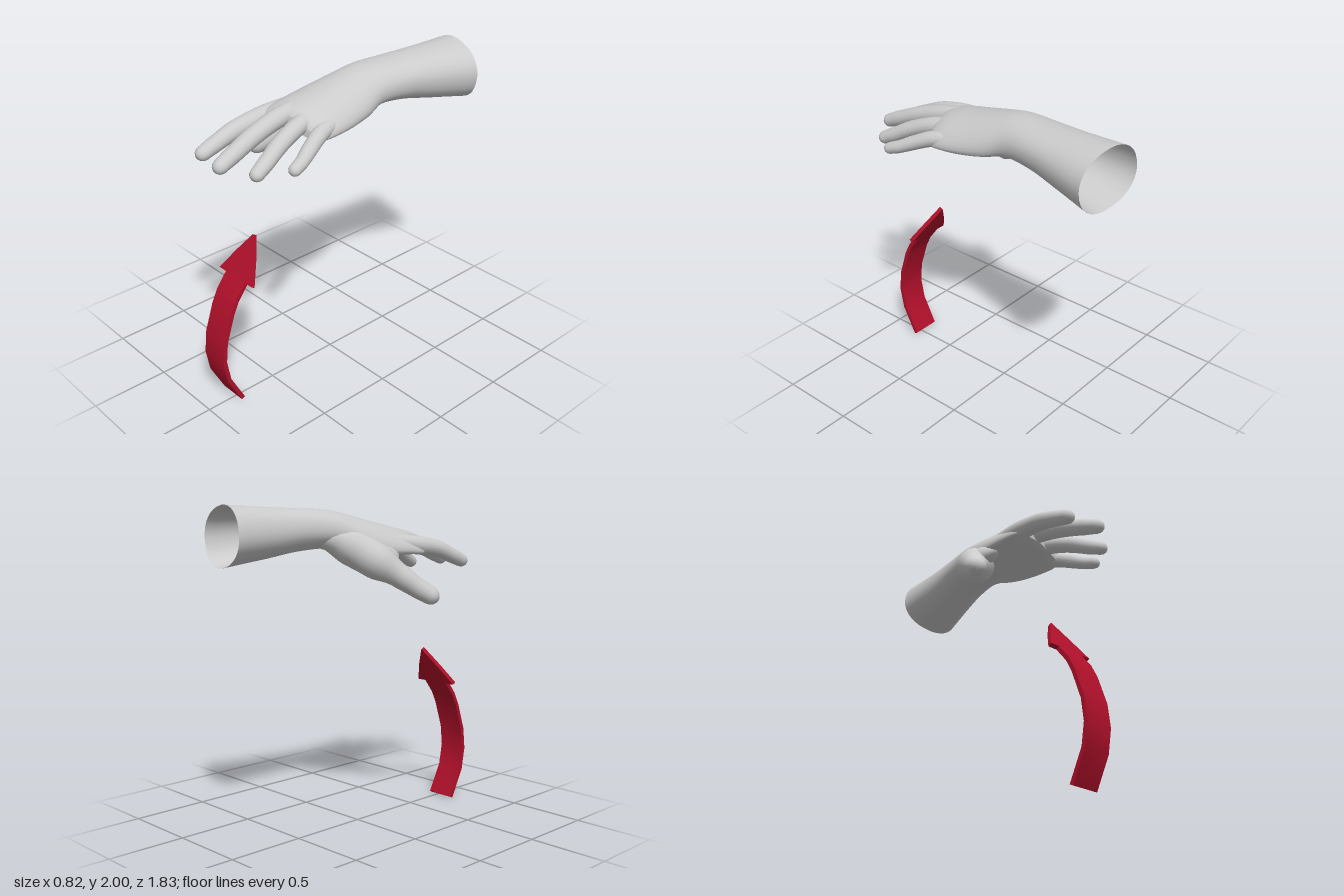
import * as THREE from 'three';
import { toCreasedNormals } from 'three/addons/utils/BufferGeometryUtils.js';

const V = (x, y, z) => new THREE.Vector3(x, y, z);
const skin = new THREE.MeshStandardMaterial({ color: 0xcccccc, side: THREE.DoubleSide });
const red = new THREE.MeshStandardMaterial({ color: 0xb0102a });

// Skin a list of equal-length rings, optionally closing either end.
function loft(rings, capStart, capEnd) {
  const n = rings[0].length, pos = [], idx = [];
  rings.forEach((r) => r.forEach((p) => pos.push(p.x, p.y, p.z)));
  for (let i = 0; i < rings.length - 1; i++) {
    for (let j = 0; j < n; j++) {
      const a = i * n + j, b = i * n + (j + 1) % n;
      idx.push(a, b, a + n, b, b + n, a + n);
    }
  }
  const cap = (i, flip) => {
    const c = V(0, 0, 0);
    rings[i].forEach((p) => c.addScaledVector(p, 1 / n));
    const k = pos.length / 3;
    pos.push(c.x, c.y, c.z);
    for (let j = 0; j < n; j++) {
      const a = i * n + j, b = i * n + (j + 1) % n;
      if (flip) idx.push(k, b, a); else idx.push(k, a, b);
    }
  };
  if (capStart) cap(0, true);
  if (capEnd) cap(rings.length - 1, false);
  const g = new THREE.BufferGeometry();
  g.setAttribute('position', new THREE.Float32BufferAttribute(pos, 3));
  g.setIndex(idx);
  g.computeVertexNormals();
  return g;
}

function add(group, name, geometry, material) {
  const m = new THREE.Mesh(geometry, material);
  m.name = name;
  group.add(m);
}

// Round digit along [x, y, z, radius] points with a domed tip.
function digit(points) {
  const curve = new THREE.CatmullRomCurve3(points.map((p) => V(p[0], p[1], p[2])));
  const last = points.length - 1, steps = last * 4, rings = [];
  const ring = (c, t, r) => {
    const side = V(0, 1, 0).cross(t).normalize(), up = t.clone().cross(side);
    rings.push(Array.from({ length: 16 }, (_, j) => {
      const a = j / 16 * Math.PI * 2;
      return c.clone().addScaledVector(side, r * Math.cos(a)).addScaledVector(up, r * Math.sin(a) * 0.95);
    }));
  };
  for (let i = 0; i <= steps; i++) {
    const u = i / steps, k = Math.min(Math.floor(u * last), last - 1);
    const f = THREE.MathUtils.smoothstep(u * last - k, 0, 1);
    ring(curve.getPoint(u), curve.getTangent(u), THREE.MathUtils.lerp(points[k][3], points[k + 1][3], f));
  }
  const t = curve.getTangent(1), end = curve.getPoint(1), r = points[last][3];
  for (const a of [0.4, 0.8, 1.2]) ring(end.clone().addScaledVector(t, r * Math.sin(a)), t, r * Math.cos(a));
  return loft(rings, false, true);
}

// Forearm, wrist and palm: z, centre x, centre y, half width, half height, arch, roll, skew
function palm() {
  const rows = [
    [-0.875, 0.2, 1.82, 0.212, 0.175, 0, -0.25, 0.17],
    [-0.6, 0.16, 1.835, 0.18, 0.148, 0, -0.2, 0.08],
    [-0.4, 0.13, 1.848, 0.168, 0.127, 0, -0.15, 0],
    [-0.2, 0.095, 1.852, 0.172, 0.116, 0.02, -0.1, 0],
    [-0.05, 0.078, 1.83, 0.212, 0.11, 0.06, -0.03, 0],
    [0.12, 0.066, 1.805, 0.242, 0.096, 0.075, 0, 0],
    [0.27, 0.067, 1.79, 0.247, 0.08, 0.075, 0, -0.1],
    [0.37, 0.065, 1.775, 0.235, 0.062, 0.07, 0, -0.2],
    [0.41, 0.06, 1.765, 0.205, 0.035, 0.06, 0, -0.22],
  ];
  const path = rows[0].map((_, c) => new THREE.CatmullRomCurve3(rows.map((r, i) => V(i, r[c], 0))));
  const rings = [], steps = 32;
  for (let i = 0; i <= steps; i++) {
    const [z, cx, cy, w, h, arch, roll, skew] = path.map((c) => c.getPoint(i / steps).y);
    rings.push(Array.from({ length: 32 }, (_, j) => {
      const a = j / 32 * Math.PI * 2, c = Math.cos(a), s = Math.sin(a);
      const u = Math.sign(c) * Math.abs(c) ** 0.9 * w;
      const v = Math.sign(s) * Math.abs(s) ** 0.9 * h - arch * c * c;
      const x = u * Math.cos(roll) - v * Math.sin(roll);
      return V(cx + x, cy + u * Math.sin(roll) + v * Math.cos(roll), z + skew * x);
    }));
  }
  return loft(rings, false, true);
}

// Bent flat arrow: y, z, half width
function arrow() {
  const rows = [
    [0.005, 0.78, 0.092], [0.19, 0.875, 0.092], [0.33, 0.9, 0.092], [0.47, 0.885, 0.092],
    [0.65, 0.825, 0.092], [0.73, 0.785, 0.092], [0.82, 0.715, 0.092], [0.82, 0.715, 0.155],
    [0.94, 0.64, 0.083], [1.055, 0.57, 0.003],
  ];
  const rings = rows.map(([y, z, w], i) => {
    const a = rows[Math.max(i - 1, 0)], b = rows[Math.min(i + 1, rows.length - 1)];
    const t = V(0, b[0] - a[0], b[1] - a[1]).normalize();
    const n = t.clone().cross(V(1, 0, 0)).multiplyScalar(0.013);
    return [[1, -1], [1, 1], [-1, 1], [-1, -1]].map(([sx, sn]) =>
      V(-0.035 + sx * w, y, z).addScaledVector(n, sn));
  });
  return toCreasedNormals(loft(rings, true, true), 0.5);
}

export function createModel() {
  const model = new THREE.Group();
  const hand = new THREE.Group();
  hand.name = 'hand';
  add(hand, 'forearmAndPalm', palm(), skin);

  const digits = {
    indexFinger: [[-0.09, 1.765, 0.2, 0.06], [-0.115, 1.745, 0.4, 0.062], [-0.122, 1.715, 0.6, 0.057],
      [-0.13, 1.665, 0.74, 0.051], [-0.13, 1.632, 0.83, 0.046]],
    middleFinger: [[0.03, 1.81, 0.2, 0.06], [0.04, 1.785, 0.42, 0.06], [0.058, 1.735, 0.62, 0.056],
      [0.075, 1.68, 0.77, 0.052], [0.085, 1.64, 0.87, 0.046]],
    ringFinger: [[0.13, 1.79, 0.2, 0.055], [0.165, 1.765, 0.38, 0.055], [0.2, 1.71, 0.55, 0.052],
      [0.23, 1.65, 0.67, 0.048], [0.248, 1.612, 0.75, 0.043]],
    littleFinger: [[0.23, 1.755, 0.15, 0.05], [0.272, 1.735, 0.31, 0.05], [0.315, 1.69, 0.43, 0.046],
      [0.35, 1.65, 0.52, 0.041], [0.367, 1.628, 0.585, 0.038]],
    thumb: [[0.03, 1.82, -0.25, 0.08], [-0.04, 1.745, -0.09, 0.12], [-0.145, 1.66, 0.02, 0.117],
      [-0.235, 1.575, 0.12, 0.078], [-0.3, 1.5, 0.21, 0.066], [-0.35, 1.45, 0.28, 0.06]],
  };
  for (const [name, points] of Object.entries(digits)) add(hand, name, digit(points), skin);

  // Skin web between thumb and index finger
  const web = new THREE.SphereGeometry(1, 20, 14);
  web.scale(0.1, 0.065, 0.15);
  web.rotateZ(0.75);
  web.translate(-0.13, 1.7, 0.06);
  add(hand, 'thumbWeb', web, skin);

  model.add(hand);
  add(model, 'curvedArrow', arrow(), red);
  return model;
}
